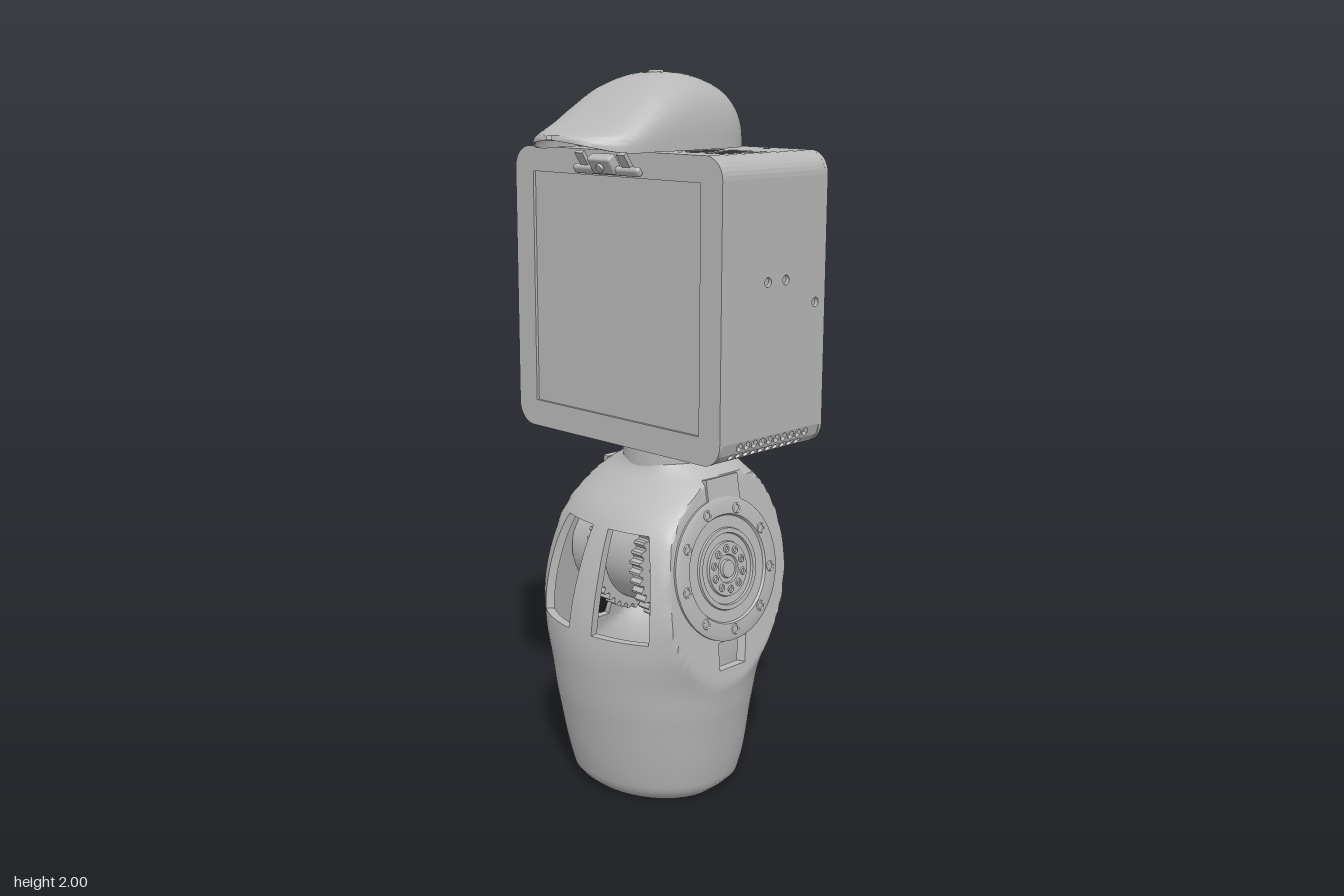
import * as THREE from 'three';
import { toCreasedNormals } from 'three/addons/utils/BufferGeometryUtils.js';
import { RoundedBoxGeometry } from 'three/addons/geometries/RoundedBoxGeometry.js';

// smooth interpolation through rows [t, a, b, ...], returning column c at t
function track(rows, t, c) {
  const n = rows.length;
  let k = 0;
  while (k < n - 2 && t > rows[k + 1][0]) k++;
  const slope = (i) => {
    const p = rows[Math.max(i - 1, 0)], q = rows[Math.min(i + 1, n - 1)];
    return (q[c] - p[c]) / (q[0] - p[0]);
  };
  const [p, q] = [rows[k], rows[k + 1]], h = q[0] - p[0], u = (t - p[0]) / h, v = 1 - u;
  return p[c] * v * v * (1 + 2 * u) + q[c] * u * u * (1 + 2 * v) + h * u * v * (v * slope(k) - u * slope(k + 1));
}

function gridGeometry(positions, index, crease) {
  const g = new THREE.BufferGeometry();
  g.setAttribute('position', new THREE.Float32BufferAttribute(positions, 3));
  g.setIndex(index);
  return toCreasedNormals(g, crease);
}

const ring = (x, y, r, n) => {
  const pts = [];
  for (let i = 0; i < n; i++) {
    const a = (i / n) * Math.PI * 2;
    pts.push(new THREE.Vector2(x + r * Math.cos(a), y + r * Math.sin(a)));
  }
  return new THREE.Path(pts);
};
const rect = (x0, y0, x1, y1) => new THREE.Path([[x0, y0], [x1, y0], [x1, y1], [x0, y1]].map((p) => new THREE.Vector2(...p)));
const extrude = (outline, holes, depth) => {
  const s = new THREE.Shape(outline.getPoints(8));
  s.holes = holes;
  return new THREE.ExtrudeGeometry(s, { depth, bevelEnabled: false });
};
function roundRect(x0, y0, x1, y1, r) {
  const s = new THREE.Shape();
  s.absarc(x1 - r, y1 - r, r, 0, Math.PI / 2);
  s.absarc(x0 + r, y1 - r, r, Math.PI / 2, Math.PI);
  s.absarc(x0 + r, y0 + r, r, Math.PI, Math.PI * 1.5);
  s.absarc(x1 - r, y0 + r, r, Math.PI * 1.5, Math.PI * 2);
  return s;
}

// body rows: y, half width, front z, back z
const BODY = [
  [0, 0.22, 0.16, -0.19], [0.03, 0.25, 0.19, -0.25], [0.25, 0.285, 0.24, -0.275], [0.35, 0.298, 0.255, -0.29],
  [0.45, 0.33, 0.262, -0.315], [0.55, 0.36, 0.25, -0.338], [0.65, 0.37, 0.225, -0.344], [0.75, 0.355, 0.19, -0.333],
  [0.82, 0.31, 0.15, -0.312], [0.88, 0.25, 0.085, -0.285], [0.92, 0.19, 0.04, -0.26], [0.945, 0.145, 0.03, -0.25],
];
const N = 96, ROWS = 63, STEP = 0.015;
function bodyPoint(i, y, inset) {
  const front = track(BODY, y, 2) - inset, back = track(BODY, y, 3) + inset, zc = (front + back) / 2;
  const t0 = (i / N) * Math.PI * 2, lift = THREE.MathUtils.clamp((y - 0.5) / 0.28, 0, 1);
  const t = t0 - 0.17 * lift * Math.sin(2 * t0), s = Math.sin(t), c = Math.cos(t);
  // the back is squarer than the front
  const e = c < 0 ? 2 / (2.2 + 0.8 * Math.min(y / 0.6, 1)) : 1;
  const pw = (v) => Math.sign(v) * Math.pow(Math.abs(v), e);
  const flat = 0.295 - 0.173 * (y - 0.35) - inset;
  const x = THREE.MathUtils.clamp((track(BODY, y, 1) - inset) * pw(s), -flat, flat);
  return [x, y, zc + ((front - back) / 2) * pw(c)];
}
function bodyGeometry() {
  const pos = [], index = [], id = (i, j, k) => (j * N + ((i + N) % N)) * 2 + k;
  for (let j = 0; j <= ROWS; j++) for (let i = 0; i < N; i++) pos.push(...bodyPoint(i, j * STEP, 0), ...bodyPoint(i, j * STEP, 0.025));
  // window and side slot cells, mirrored left to right
  const open = (i, j) => {
    i = (i + N) % N;
    if (i >= N / 2) i = N - 1 - i;
    if (j >= 33 && j < 52) return (i >= 2 && i < 10) || (i >= 42 && i < 46);
    return j >= 26 && j < 31 && i >= 23 && i < 27;
  };
  const quad = (a, b, c, d) => index.push(a, b, c, a, c, d);
  for (let j = 0; j < ROWS; j++) for (let i = 0; i < N; i++) {
    if (!open(i, j)) {
      quad(id(i, j, 0), id(i + 1, j, 0), id(i + 1, j + 1, 0), id(i, j + 1, 0));
      quad(id(i, j, 1), id(i, j + 1, 1), id(i + 1, j + 1, 1), id(i + 1, j, 1));
      continue;
    }
    const wall = (p, q) => quad(id(...p, 0), id(...q, 0), id(...q, 1), id(...p, 1));
    if (!open(i - 1, j)) wall([i, j], [i, j + 1]);
    if (!open(i + 1, j)) wall([i + 1, j + 1], [i + 1, j]);
    if (!open(i, j - 1)) wall([i + 1, j], [i, j]);
    if (!open(i, j + 1)) wall([i, j + 1], [i + 1, j + 1]);
  }
  return gridGeometry(pos, index, 0.5);
}

// cap rows: z, half width, crown y, rim y
const CAP = [
  [-0.25, 0.06, 1.825, 1.798], [-0.24, 0.115, 1.885, 1.798], [-0.2, 0.158, 1.943, 1.798], [-0.13, 0.18, 1.98, 1.798],
  [-0.03, 0.186, 1.995, 1.798], [0.075, 0.186, 1.968, 1.798], [0.15, 0.183, 1.922, 1.798], [0.2, 0.176, 1.888, 1.797],
  [0.25, 0.155, 1.864, 1.8], [0.3, 0.112, 1.848, 1.812], [0.33, 0.064, 1.843, 1.822], [0.342, 0.01, 1.84, 1.828],
];
function capGeometry() {
  const pos = [], index = [], M = 32, L = 2 * (M + 1), S = 56;
  for (let j = 0; j <= S; j++) {
    const z = 0.046 - 0.296 * Math.cos((j / S) * Math.PI);
    const [w, top, rim] = [1, 2, 3].map((c) => track(CAP, z, c));
    for (let i = 0; i < L; i++) {
      const inner = i > M, a = ((inner ? L - 1 - i : i) / M) * Math.PI, c = Math.cos(a), s = Math.sin(a);
      const e = 0.7, hw = inner ? w * 0.94 : w, h = Math.max(top - rim - (inner ? 0.016 : 0), 0.002);
      pos.push(hw * Math.sign(c) * Math.pow(Math.abs(c), e), rim + h * Math.pow(Math.max(s, 0), e), z);
    }
  }
  for (let j = 0; j < S; j++) for (let i = 0; i < L; i++) {
    const a = j * L + i, b = j * L + ((i + 1) % L);
    index.push(a, a + L, b + L, a, b + L, b);
  }
  return gridGeometry(pos, index, 0.8);
}

export function createModel() {
  const model = new THREE.Group();
  const grey = new THREE.MeshStandardMaterial({ color: 0xb8b8b8, side: THREE.DoubleSide });
  grey.name = 'grey plastic';
  const add = (name, geo, x = 0, y = 0, z = 0, parent = model) => {
    const m = new THREE.Mesh(geo, grey);
    m.name = name;
    m.position.set(x, y, z);
    parent.add(m);
    return m;
  };

  // body shell, floor with cable openings, neck
  add('bodyShell', bodyGeometry());
  const foot = [];
  for (let i = 0; i < N; i++) { const p = bodyPoint(i, 0, 0); foot.push(new THREE.Vector2(p[0], p[2])); }
  const floorHoles = [rect(-0.145, 0, 0.145, 0.08), rect(-0.08, -0.15, 0.07, -0.05)];
  add('bodyFloor', extrude(new THREE.Path(foot), floorHoles, 0.015).rotateX(Math.PI / 2), 0, 0.015, 0);
  add('neck', new THREE.CylinderGeometry(0.145, 0.145, 0.09, 64), 0, 0.965, -0.11);
  // drum and toothed wheels inside the shell
  add('motorDrum', new THREE.CylinderGeometry(0.155, 0.155, 0.42, 48).rotateZ(Math.PI / 2), 0, 0.66, -0.06);
  const teeth = [];
  for (let i = 0; i < 160; i++) {
    const r = i % 4 < 2 ? 0.185 : 0.172, a = (i / 160) * Math.PI * 2;
    teeth.push(new THREE.Vector2(r * Math.cos(a), r * Math.sin(a)));
  }
  for (const s of [-1, 1]) {
    add('toothedWheel', extrude(new THREE.Path(teeth), [], 0.04).rotateY(Math.PI / 2), s * 0.09 - 0.02, 0.66, -0.05);

    // shoulder joint, lying on the sloping side
    const joint = new THREE.Group();
    joint.name = 'shoulderJoint';
    joint.position.set(s * 0.2415, 0.66, -0.07);
    joint.rotation.z = -s * 1.4;
    model.add(joint);
    const profile = [[0.2, -0.02], [0.2, 0.006], [0.187, 0.011], [0.152, 0.011], [0.148, 0.004], [0.115, 0.004], [0.113, 0.01],
      [0.1, 0.01], [0.098, 0.003], [0.077, 0.003], [0.075, 0.01], [0.04, 0.01], [0.038, 0.004], [0.026, 0.004], [0.024, 0.012], [0, 0.012]];
    add('jointDisc', toCreasedNormals(new THREE.LatheGeometry(profile.map((p) => new THREE.Vector2(...p)), 64), 0.4), 0, 0, 0, joint);
    for (const [n, r, size] of [[9, 0.17, 0.012], [10, 0.057, 0.008]])
      for (let i = 0; i < n; i++) {
        const a = (i / n) * Math.PI * 2;
        const screw = new THREE.TorusGeometry(size, 0.003, 6, 16).rotateX(Math.PI / 2);
        add('jointScrew', screw, r * Math.cos(a), 0.011, r * Math.sin(a), joint);
      }
    add('jointTab', new THREE.BoxGeometry(0.09, 0.016, 0.125), -s * 0.21, -0.002, -0.02, joint);

    // round ports on the back of the body
    for (const [x, y, z] of [[0.2, 0.41, -0.28], [0.13, 0.885, -0.262]]) {
      const port = add('bodyPort', new THREE.TorusGeometry(0.027, 0.004, 8, 24), s * x, y, z);
      port.rotation.set(y > 0.8 ? 0.7 : -0.15, s * -0.5, 0);
    }
  }

  // head case
  const T = 0.012, R = 0.06, W = 0.395, Y0 = 1.005, Y1 = 1.795, ZB = -0.28, ZF = 0.125;
  add('screenBezel', extrude(roundRect(-W, Y0, W, Y1, R), [rect(-0.32, 1.08, 0.32, 1.727)], T), 0, 0, ZF - T);
  add('screen', new THREE.BoxGeometry(0.66, 0.67, 0.008), 0, 1.4035, ZF - T);
  const backHoles = [[0.27, 1.6], [-0.262, 1.6], [0.18, 1.465], [-0.136, 1.415], [0.27, 1.055], [-0.262, 1.055], [0.18, 1.1], [-0.136, 1.045]]
    .map(([x, y]) => ring(x, y, 0.013, 16));
  backHoles.push(new THREE.Path(roundRect(-0.07, 1.03, 0.165, 1.08, 0.024).getPoints(6)));
  add('backPanel', extrude(roundRect(-W, Y0, W, Y1, R), backHoles, T), 0, 0, ZB);
  add('electronics', new THREE.BoxGeometry(0.54, 0.6, 0.29), 0, 1.4, -0.055);
  add('plugBoard', new THREE.BoxGeometry(0.26, 0.07, 0.02), 0.05, 1.06, -0.24);

  // honeycomb vents in top and bottom
  const vents = (rows) => {
    const holes = [];
    for (const s of [-1, 1]) for (let c = 0; c < 7; c++) {
      const [from, to] = rows(c);
      for (let k = from; k <= to; k++) holes.push(ring(s * (0.316 - c * 0.0252), -0.077 + (k - (c % 2) / 2) * 0.029, 0.0143, 6));
    }
    return holes;
  };
  const inner = rect(-(W - R), ZB + T, W - R, ZF - T);
  const topHoles = vents((c) => (c === 0 ? [0, 3] : [c % 2 ? 0 : -1, 4]));
  for (const s of [-1, 1]) for (const [x, z] of [[0.316, -0.111], [0.316, 0.043], [0.21, -0.245]]) topHoles.push(ring(s * x, z, 0.012, 16));
  add('topPanel', extrude(inner, topHoles, T).rotateX(Math.PI / 2), 0, Y1, 0);
  add('bottomPanel', extrude(inner, vents(() => [-4, 4]), T).rotateX(Math.PI / 2), 0, Y0 + T, 0);

  for (const s of [-1, 1]) {
    // side walls with screw holes
    const holes = [[0.05, 1.47], [0.12, 1.47], [0.24, 1.4]].map(([u, y]) => ring(u, y, 0.013, 16));
    const wall = extrude(rect(T - ZF, Y0 + R, -ZB - T, Y1 - R), holes, T).rotateY(Math.PI / 2);
    add('sideWall', wall, s > 0 ? W - T : -W, 0, 0);
    // rounded long edges, the lower ones perforated
    const edge = (count, y, start, perforated) => {
      const step = Math.PI / 2 / count, half = R * Math.sin(step / 2), reach = R * Math.cos(step / 2);
      for (let i = 0; i < count; i++) {
        const slots = [];
        if (perforated) for (let k = 0; k < 10; k++) slots.push(ring(0, -0.215 + (k + (i % 2) / 2) * 0.029, 0.0125, 6));
        const strip = extrude(rect(-half, ZB + T, half, ZF - T), slots, T).rotateX(Math.PI / 2).translate(0, T - reach, 0);
        add('caseEdge', strip, s * (W - R), y, 0).rotation.z = s * (start + (i + 0.5) * step);
      }
    };
    edge(3, Y0 + R, 0, true);
    edge(8, Y1 - R, Math.PI / 2, false);
  }

  // camera clip under the brim
  const clip = new THREE.Group();
  clip.name = 'cameraClip';
  clip.position.set(0, 1.755, 0.15);
  clip.rotation.x = 0.6;
  model.add(clip);
  add('clipBar', new RoundedBoxGeometry(0.25, 0.026, 0.02, 3, 0.009), 0, -0.012, 0, clip);
  add('clipCamera', new RoundedBoxGeometry(0.085, 0.05, 0.03, 3, 0.006), 0, 0.008, 0, clip);
  add('clipLens', new THREE.CylinderGeometry(0.012, 0.012, 0.01, 24).rotateX(Math.PI / 2), 0, 0.008, 0.018, clip);
  for (const s of [-1, 1]) add('clipArm', new THREE.BoxGeometry(0.03, 0.05, 0.012), s * 0.08, 0.015, -0.005, clip);

  // cap with brim and button
  add('cap', capGeometry());
  add('capButton', new RoundedBoxGeometry(0.034, 0.016, 0.034, 4, 0.007), 0, 1.992, -0.035);
  return model;
}
